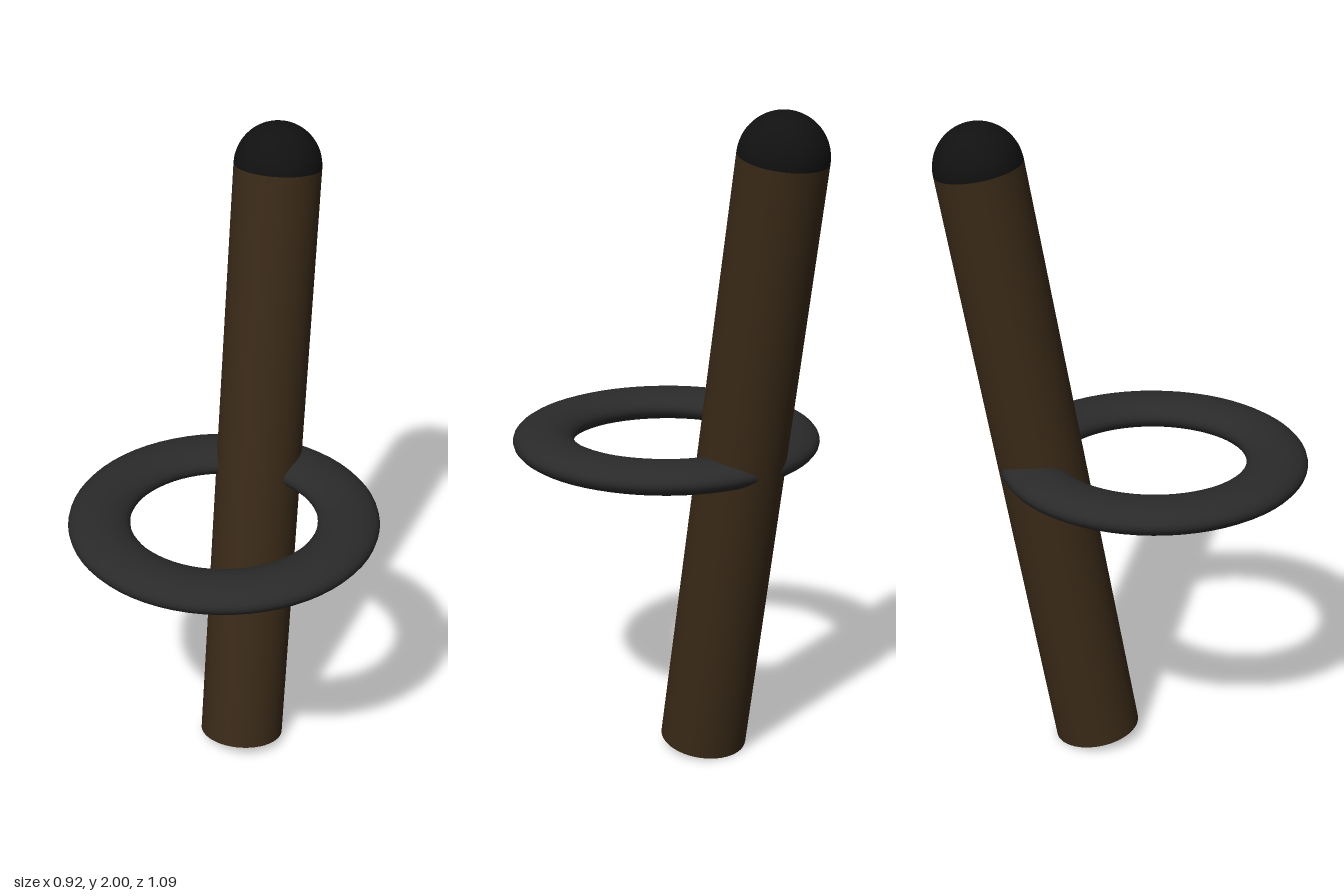
import * as THREE from 'three';

const RADIUS = 0.13;
const LENGTH = 1.876;

function part(name, geometry, color) {
  const mesh = new THREE.Mesh(geometry, new THREE.MeshStandardMaterial({ color }));
  mesh.name = name;
  return mesh;
}

export function createModel() {
  const model = new THREE.Group();
  model.name = 'leaningRodWithRing';

  // Rod group: origin at the centre of the lower end, leaning 10 degrees back
  const rod = new THREE.Group();
  rod.name = 'rod';
  rod.position.set(0, 0.023, -0.09);
  rod.rotation.x = -THREE.MathUtils.degToRad(10);

  const shaft = part('shaft', new THREE.CylinderGeometry(RADIUS, RADIUS, LENGTH, 48), 0x3a2a18);
  shaft.position.y = LENGTH / 2;

  // Domed end cap
  const cap = part('endCap',
    new THREE.SphereGeometry(RADIUS, 48, 16, 0, Math.PI * 2, 0, Math.PI / 2), 0x111111);
  cap.position.y = LENGTH;
  rod.add(shaft, cap);

  // Flattened ring lying level around the front of the rod
  const ringGeometry = new THREE.TorusGeometry(0.37, 0.092, 24, 64);
  ringGeometry.rotateX(Math.PI / 2).scale(1, 0.5, 1);
  const ring = part('ring', ringGeometry, 0x2a2a2a);
  ring.position.set(0, 0.943, 0.083);

  model.add(rod, ring);
  return model;
}
